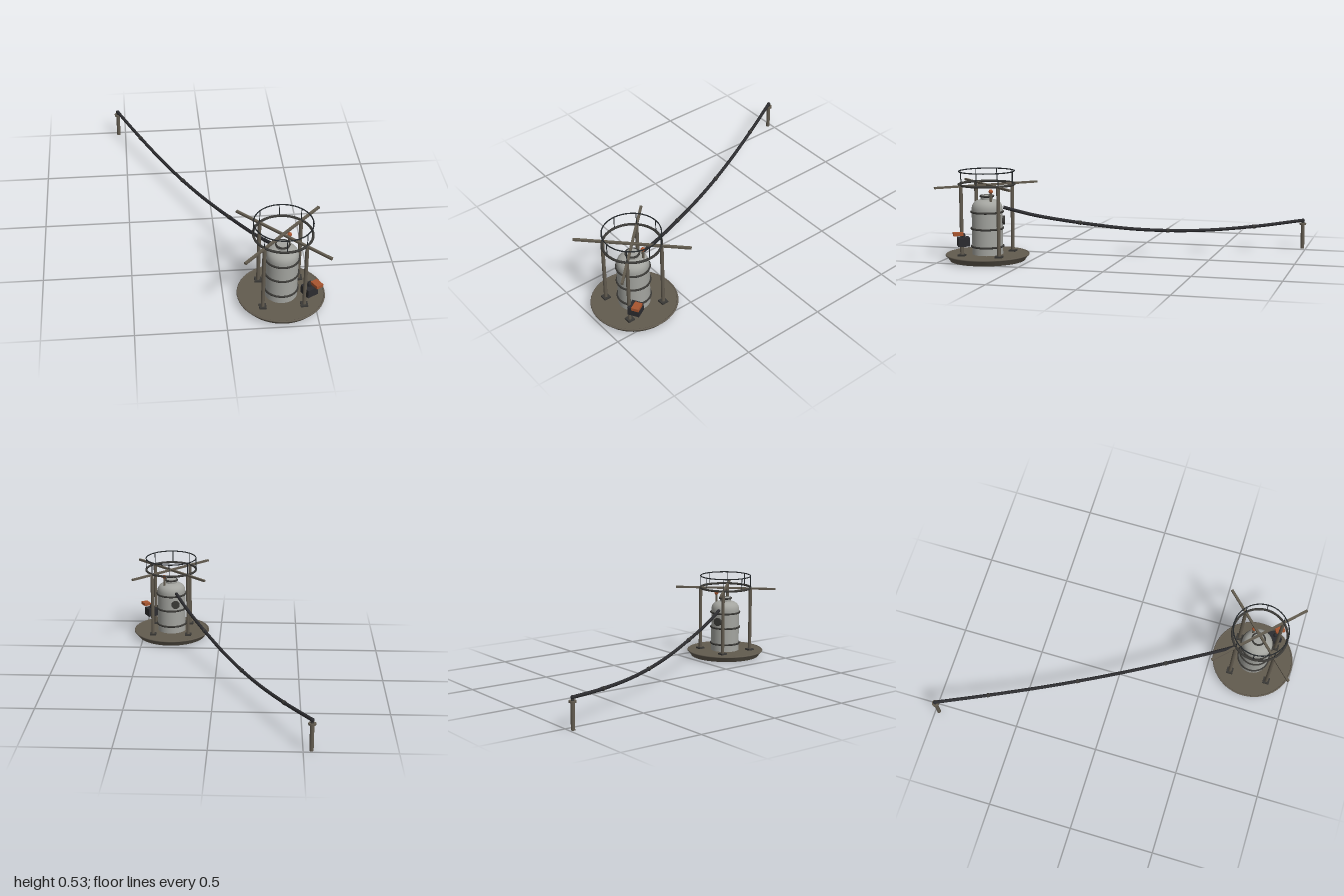
import * as THREE from 'three';

const paint = (name, color) => {
  const m = new THREE.MeshStandardMaterial({ color });
  m.name = name;
  return m;
};

export function createModel() {
  const steel = paint('weathered brown steel', 0x625b4f);
  const tankGrey = paint('pale tank grey', 0xa3a49f);
  const iron = paint('dark iron', 0x3a3936);
  const rubber = paint('black rubber', 0x2c2c2f);
  const railPaint = paint('rail black', 0x24282b);
  const orange = paint('rust orange', 0xa8552f);

  const model = new THREE.Group();
  const station = new THREE.Group();
  station.name = 'pumpStation';
  station.position.set(0.318, 0, 0.755);
  model.add(station);

  const add = (parent, name, geo, mat, x = 0, y = 0, z = 0) => {
    const mesh = new THREE.Mesh(geo, mat);
    mesh.name = name;
    mesh.position.set(x, y, z);
    parent.add(mesh);
    return mesh;
  };
  const rod = (parent, name, mat, r, x, y0, y1, z, sides = 16) =>
    add(parent, name, new THREE.CylinderGeometry(r, r, y1 - y0, sides), mat, x, (y0 + y1) / 2, z);
  const ring = (name, mat, r, tube, y) => {
    const geo = new THREE.TorusGeometry(r, tube, 10, 48);
    geo.rotateX(Math.PI / 2);
    return add(station, name, geo, mat, 0, y, 0);
  };

  // Dish-shaped base with a rim
  rod(station, 'baseDish', steel, 0.22, 0, 0, 0.036, 0, 48).geometry =
    new THREE.CylinderGeometry(0.242, 0.218, 0.036, 48);
  ring('baseRim', steel, 0.24, 0.005, 0.034);

  // Tank with rounded shoulder, neck and lid
  const profile = new THREE.Path();
  profile.moveTo(0.09, 0.036);
  profile.lineTo(0.09, 0.3);
  profile.bezierCurveTo(0.09, 0.335, 0.07, 0.352, 0.036, 0.357);
  const tankPoints = [new THREE.Vector2(0.09, 0.036), ...profile.curves[1].getPoints(12)];
  add(station, 'tank', new THREE.LatheGeometry(tankPoints, 40), tankGrey);
  rod(station, 'tankNeck', tankGrey, 0.036, 0, 0.35, 0.374, 0, 32);
  rod(station, 'tankLid', tankGrey, 0.034, 0, 0.37, 0.38, 0, 32);
  ring('lidRing', iron, 0.037, 0.006, 0.376);
  for (const y of [0.082, 0.188, 0.285]) ring('tankBand', iron, 0.092, 0.006, y);

  // Relief pipe with its ball
  rod(station, 'reliefPipe', steel, 0.007, 0.042, 0.32, 0.4, -0.041, 12);
  add(station, 'reliefBall', new THREE.SphereGeometry(0.0125, 16, 12), orange, 0.042, 0.408, -0.041);

  // Four columns on foot plates
  for (const sx of [-1, 1]) {
    for (const sz of [-1, 1]) {
      rod(station, 'column', steel, 0.0105, sx * 0.114, 0.036, 0.442, sz * 0.114);
      add(station, 'footPlate', new THREE.BoxGeometry(0.04, 0.01, 0.04), iron,
        sx * 0.114, 0.041, sz * 0.114);
    }
  }

  // Crossed beams and the guard rail above them
  for (const s of [-1, 1]) {
    add(station, 'crossBeam', new THREE.BoxGeometry(0.645, 0.012, 0.014), steel, 0, 0.442, 0)
      .rotation.y = s * Math.PI / 4;
  }
  ring('platformRing', iron, 0.161, 0.007, 0.446);
  ring('guardRail', railPaint, 0.161, 0.0035, 0.522);
  for (let i = 0; i < 8; i++) {
    const a = i * Math.PI / 4;
    rod(station, 'railPost', railPaint, 0.0025, 0.161 * Math.cos(a), 0.446, 0.522, 0.161 * Math.sin(a), 8);
  }

  // Valve box with stem and lever
  const valve = new THREE.Group();
  valve.name = 'valve';
  valve.position.set(0.142, 0, 0.092);
  valve.rotation.y = Math.PI / 6;
  station.add(valve);
  add(valve, 'valveBox', new THREE.BoxGeometry(0.067, 0.05, 0.067), rubber, 0, 0.126, 0);
  rod(valve, 'valveStem', rubber, 0.011, 0, 0.15, 0.166, 0);
  add(valve, 'stemCap', new THREE.SphereGeometry(0.011, 16, 10), rubber, 0, 0.166, 0);
  add(valve, 'lever', new THREE.BoxGeometry(0.042, 0.018, 0.056), orange, 0.0235, 0.175, 0.033);

  // Round outlet cover on the back of the tank
  const cover = rod(station, 'outletCover', iron, 0.026, -0.032, 0.225, 0.241, -0.088, 24);
  cover.rotation.set(Math.PI / 2, 0, -0.35);

  // Sagging hose from the tank to the far post
  const start = new THREE.Vector2(0.28, 0.67), end = new THREE.Vector2(-0.544, -0.979);
  const sag = [[0.28, 0.308], [0.2, 0.257], [0.07, 0.2], [-0.08, 0.152],
    [-0.24, 0.133], [-0.4, 0.146], [-0.544, 0.175]];
  const path = new THREE.CatmullRomCurve3(sag.map(([x, y]) => {
    const t = (start.x - x) / (start.x - end.x);
    return new THREE.Vector3(x, y, start.y + (end.y - start.y) * t);
  }));
  add(model, 'hose', new THREE.TubeGeometry(path, 64, 0.01, 12), rubber);
  add(model, 'hoseEnd', new THREE.SphereGeometry(0.0115, 16, 12), rubber, end.x, 0.175, end.y);
  const up = new THREE.Vector3(0, 1, 0);
  for (const u of [0.25, 0.54, 0.83]) {
    const p = path.getPointAt(u);
    add(model, 'hoseCoupling', new THREE.CylinderGeometry(0.0125, 0.0125, 0.016, 16), iron, p.x, p.y, p.z)
      .quaternion.setFromUnitVectors(up, path.getTangentAt(u));
  }

  // Far post with its cap plate and saddle
  rod(model, 'hosePost', steel, 0.0115, end.x, 0, 0.15, end.y);
  rod(model, 'postCap', steel, 0.021, end.x, 0.148, 0.158, end.y, 24);
  rod(model, 'hoseSaddle', iron, 0.009, end.x, 0.157, 0.17, end.y);

  return model;
}
